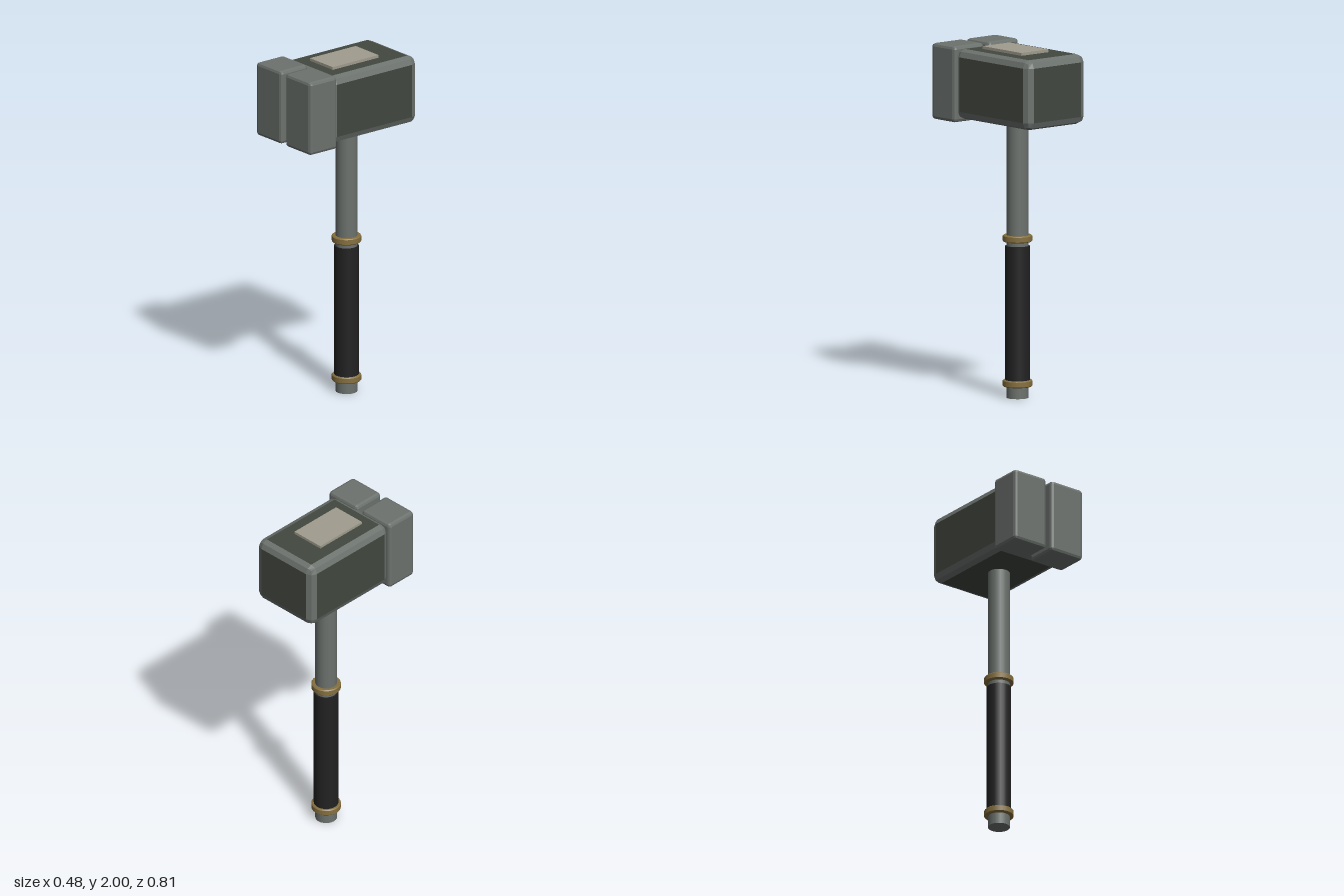
import * as THREE from 'three';
import { RoundedBoxGeometry } from 'three/addons/geometries/RoundedBoxGeometry.js';

const material = (name, color, flatShading = false) => {
  const m = new THREE.MeshStandardMaterial({ color, flatShading });
  m.name = name;
  return m;
};

// Bevelled box with two flat facets along each edge
function bevelBox(w, h, d, bevel) {
  const g = new RoundedBoxGeometry(w, h, d, 1, bevel);
  return g.index ? g.toNonIndexed() : g;
}

// Material 0 on the six flat faces, material 1 on the bevels
function groupBevels(g) {
  g.clearGroups();
  const p = g.attributes.position;
  const tri = new THREE.Triangle(), n = new THREE.Vector3();
  for (let i = 0; i < p.count; i += 3) {
    tri.setFromAttributeAndIndices(p, i, i + 1, i + 2);
    tri.getNormal(n);
    const flat = Math.max(Math.abs(n.x), Math.abs(n.y), Math.abs(n.z)) > 0.999;
    g.addGroup(i, 3, flat ? 0 : 1);
  }
  return g;
}

export function createModel() {
  const steel = material('steel grey', 0x6c726e, true);
  const iron = material('dark iron', 0x42473f, true);
  const plate = material('pale plate', 0xa09c8e);
  const brass = material('brass', 0x86703f);
  const leather = material('black leather', 0x222222);
  const shaftSteel = steel.clone();
  shaftSteel.flatShading = false;

  const model = new THREE.Group();
  model.name = 'hammer';
  const add = (name, geometry, mat, x, y, z) => {
    const mesh = new THREE.Mesh(geometry, mat);
    mesh.name = name;
    mesh.position.set(x, y, z);
    model.add(mesh);
  };
  const axisZ = -0.062;

  // Handle: shaft, grip and two chamfered collars
  add('shaft', new THREE.CylinderGeometry(0.062, 0.062, 1.62, 24), shaftSteel, 0, 0.81, axisZ);
  add('grip', new THREE.CylinderGeometry(0.07, 0.07, 0.77, 24), leather, 0, 0.485, axisZ);
  const collar = [[0.05, -0.019], [0.079, -0.019], [0.084, -0.014], [0.084, 0.014], [0.079, 0.019], [0.05, 0.019]];
  // Each profile edge is its own strip, keeping the chamfers sharp
  for (const [name, y] of [['lowerCollar', 0.084], ['upperCollar', 0.913]]) {
    for (let i = 0; i < collar.length - 1; i++) {
      const edge = [collar[i], collar[i + 1]].map(([r, h]) => new THREE.Vector2(r, h));
      add(name, new THREE.LatheGeometry(edge, 24), brass, 0, y, axisZ);
    }
  }

  // Head with dark faces and grey bevels
  add('head', groupBevels(bevelBox(0.44, 0.4, 0.635, 0.044)), [iron, steel], 0, 1.784, -0.0875);

  // Inlaid plate on top
  add('topPlate', new THREE.BoxGeometry(0.204, 0.03, 0.335), plate, 0, 1.985, -0.0455);

  // Split striking face
  for (const side of [-1, 1]) {
    add(side > 0 ? 'leftStrikingBlock' : 'rightStrikingBlock',
      bevelBox(0.225, 0.435, 0.199, 0.018), steel, side * 0.13, 1.7825, 0.3025);
  }
  return model;
}
